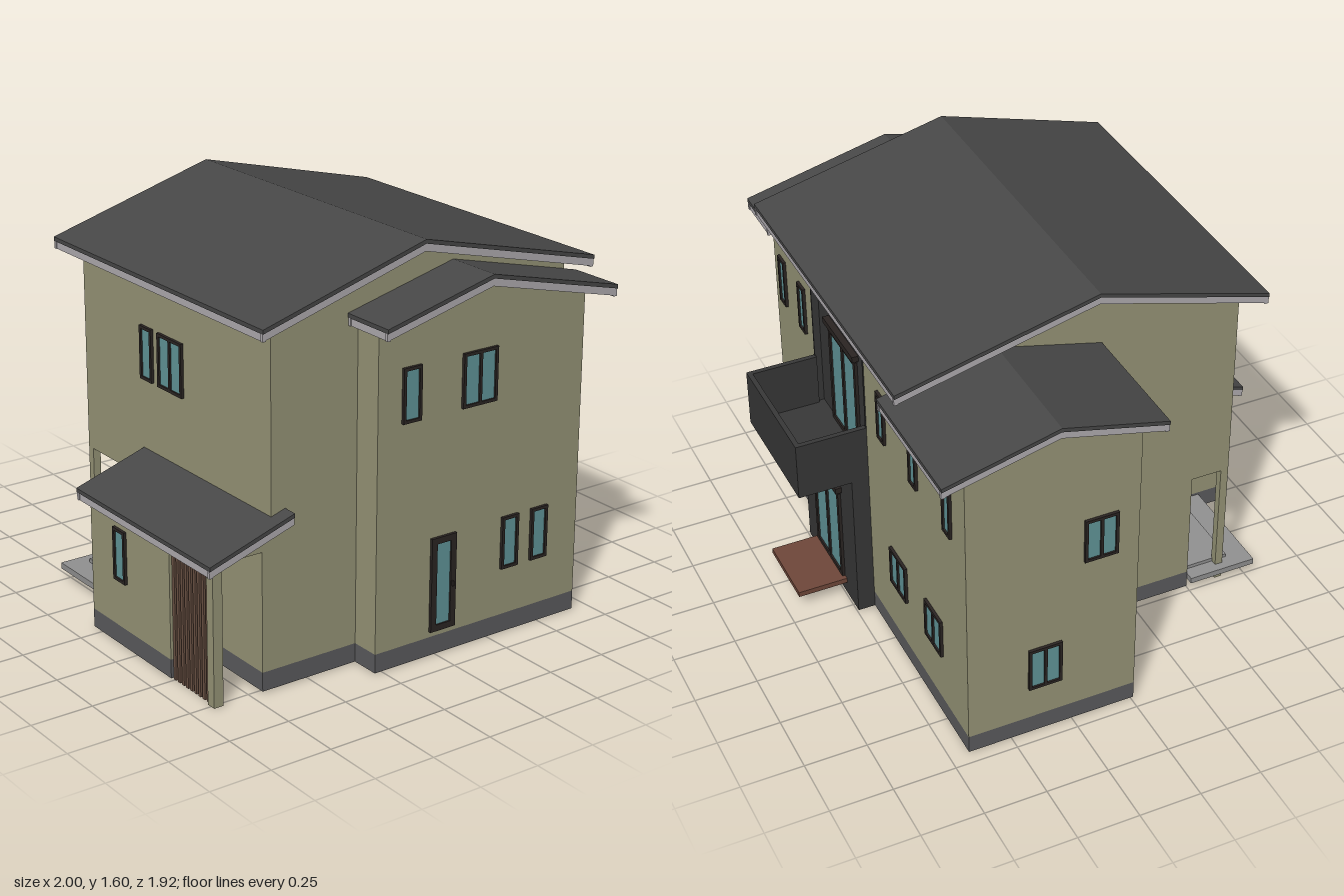
import * as THREE from 'three';

const mat = (color, side = THREE.FrontSide) => new THREE.MeshStandardMaterial({ color, side });
const OLIVE = mat(0x989678, THREE.DoubleSide), BASE = mat(0x5c5c5e, THREE.DoubleSide);
const ROOF = mat(0x484848), FASCIA = mat(0xb2aeb2), DARK = mat(0x383838), FRAME = mat(0x2b2523);
const GLASS = mat(0x62979a), WOOD = mat(0x70483a), STONE = mat(0x929292), SLAT = mat(0x6b5244);

export function createModel() {
  const house = new THREE.Group();
  house.name = 'house';

  const add = (name, geo, material, parent = house) => {
    const m = new THREE.Mesh(geo, material);
    m.name = name;
    parent.add(m);
    return m;
  };
  // box given by its limits on each axis
  const box = (name, material, x0, x1, y0, y1, z0, z1, parent) => add(name,
    new THREE.BoxGeometry(x1 - x0, y1 - y0, z1 - z0)
      .translate((x0 + x1) / 2, (y0 + y1) / 2, (z0 + z1) / 2), material, parent);

  // thin vertical walls along a plan path of [x, z] points, with tops following top(z)
  const walls = (name, material, path, y0, top) => {
    const pos = [];
    for (let i = 0; i + 1 < path.length; i++) {
      const [ax, az] = path[i], [bx, bz] = path[i + 1];
      const A = [ax, y0, az], B = [bx, y0, bz], C = [bx, top(bz), bz], D = [ax, top(az), az];
      pos.push(...A, ...B, ...C, ...A, ...C, ...D);
    }
    const g = new THREE.BufferGeometry();
    g.setAttribute('position', new THREE.Float32BufferAttribute(pos, 3));
    g.computeVertexNormals();
    return add(name, g, material);
  };

  // band below a [z, y] roof line, extruded from x0 to x1
  const band = (line, upper, lower, x0, x1) => {
    const top = line.map(([z, y]) => new THREE.Vector2(z, y - upper));
    const bottom = line.map(([z, y]) => new THREE.Vector2(z, y - lower)).reverse();
    return new THREE.ExtrudeGeometry(new THREE.Shape([...top, ...bottom]), { depth: x1 - x0, bevelEnabled: false })
      .rotateY(-Math.PI / 2).translate(x1, 0, 0);
  };
  // roof slab with pale boards under its rakes and eaves
  const roof = (name, x0, x1, line) => {
    const g = new THREE.Group();
    g.name = name;
    house.add(g);
    add('roofSlab', band(line, 0, 0.016, x0, x1), ROOF, g);
    for (const x of [x0 + 0.004, x1 - 0.016]) add('rakeBoard', band(line, 0.016, 0.045, x, x + 0.012), FASCIA, g);
    const ends = [line[0], line[line.length - 1]];
    ends.forEach(([z, y], i) => {
      const a = i ? z - 0.016 : z + 0.004;
      box('eaveBoard', FASCIA, x0 + 0.004, x1 - 0.004, y - 0.045, y - 0.014, a, a + 0.012, g);
    });
  };
  // underside height of a roof line at z
  const under = (line) => (z) => {
    for (let i = 0; i + 1 < line.length; i++) {
      const [a, ya] = line[i], [b, yb] = line[i + 1];
      if (z <= b) return ya + (yb - ya) * (z - a) / (b - a) - 0.015;
    }
    return line[line.length - 1][1] - 0.015;
  };

  // roofs
  const mainLine = [[-0.76, 1.405], [0.04, 1.6], [0.74, 1.4]];
  const leftLine = [[-0.78, 1.32], [-0.33, 1.43], [0.09, 1.325]];
  const rightLine = [[-0.735, 1.335], [-0.14, 1.48], [0.33, 1.365]];
  const porchLine = [[0.6, 0.695], [0.96, 0.58]];
  roof('mainRoof', -0.555, 0.84, mainLine);
  roof('westWingRoof', -1, -0.435, leftLine);
  roof('eastWingRoof', 0.77, 1, rightLine);
  roof('frontLeanToRoof', -0.065, 0.83, porchLine);

  // ground floor walls and plinth
  const plan = [[-0.95, -0.675], [-0.95, 0.01], [-0.475, 0.01], [-0.475, 0.5], [-0.05, 0.5], [-0.05, 0.91],
    [0.49, 0.91], [0.49, 0.7], [0.77, 0.7], [0.77, 0.285], [0.89, 0.285], [0.89, -0.675], [-0.95, -0.675]];
  walls('plinth', BASE, plan, 0.005, () => 0.08);
  walls('groundFloorWalls', OLIVE, plan, 0.08, () => 0.55);

  // upper walls, main block with a shallow recess at the back
  walls('mainUpperWalls', OLIVE, [[-0.045, -0.645], [-0.045, -0.675], [-0.475, -0.675], [-0.475, 0.04],
    [-0.475, 0.66], [0.77, 0.66], [0.77, 0.04], [0.77, -0.675], [0.485, -0.675], [0.485, -0.645],
    [-0.045, -0.645]], 0.55, under(mainLine));
  walls('westWingUpperWalls', OLIVE, [[-0.475, 0.01], [-0.95, 0.01], [-0.95, -0.33], [-0.95, -0.675],
    [-0.475, -0.675]], 0.55, under(leftLine));
  walls('eastWingUpperWalls', OLIVE, [[0.77, 0.285], [0.89, 0.285], [0.89, -0.14], [0.89, -0.675],
    [0.77, -0.675]], 0.55, under(rightLine));
  walls('leanToUpperWalls', OLIVE, [[-0.05, 0.66], [-0.05, 0.91], [0.77, 0.91], [0.77, 0.66]], 0.55, under(porchLine));
  box('entryCeiling', OLIVE, -0.475, -0.05, 0.55, 0.555, 0.5, 0.66);
  box('alcoveCeiling', OLIVE, 0.49, 0.77, 0.55, 0.555, 0.7, 0.91);

  // posts and slatted screen
  box('entryPost', OLIVE, -0.475, -0.443, 0, 0.55, 0.628, 0.66);
  box('alcovePost', OLIVE, 0.73, 0.77, 0, 0.55, 0.87, 0.91);
  for (let i = 0; i < 9; i++) {
    const x = 0.492 + i * 0.027;
    box('screenSlat', SLAT, x, x + 0.015, 0, 0.55, 0.875, 0.9);
  }

  // entry steps and front door
  box('lowerStep', STONE, -0.51, -0.05, 0.045, 0.07, 0.5, 0.785);
  box('upperStep', STONE, -0.45, -0.05, 0.07, 0.085, 0.5, 0.69);
  box('frontDoor', DARK, -0.33, -0.14, 0.09, 0.5, 0.5, 0.515);
  box('frontDoorPanel', FASCIA, -0.255, -0.222, 0.1, 0.49, 0.51, 0.519);
  box('frontDoorHandle', FRAME, -0.165, -0.158, 0.23, 0.31, 0.515, 0.53);

  // framed window: centre, size, turn about y, number of panes, frame width
  const glazing = (name, x, y, z, w, h, turn = 0, panes = 1, f = 0.012) => {
    const g = new THREE.Group();
    g.name = name;
    g.position.set(x, y, z);
    g.rotation.y = turn;
    house.add(g);
    const rect = (C, x0, x1, y0, y1) => new C([[x0, y0], [x1, y0], [x1, y1], [x0, y1]].map((p) => new THREE.Vector2(...p)));
    const s = rect(THREE.Shape, -w / 2, w / 2, -h / 2, h / 2);
    const step = (w - f) / panes;
    for (let i = 0; i < panes; i++) {
      const a = -w / 2 + f + i * step;
      s.holes.push(rect(THREE.Path, a, a + step - f, -h / 2 + f, h / 2 - f));
    }
    add('frame', new THREE.ExtrudeGeometry(s, { depth: 0.012, bevelEnabled: false }), FRAME, g);
    box('glass', GLASS, -w / 2 + f / 2, w / 2 - f / 2, -h / 2 + f / 2, h / 2 - f / 2, 0, 0.005, g);
  };

  // front windows
  glazing('frontUpperWindow', -0.025, 1.06, 0.66, 0.08, 0.21);
  glazing('frontUpperDoubleWindow', 0.137, 1.06, 0.66, 0.162, 0.21, 0, 2);
  glazing('leanToWindow', 0.16, 0.375, 0.91, 0.08, 0.21);
  glazing('westWingUpperWindow', -0.578, 0.81, 0.01, 0.083, 0.09);
  glazing('westWingLowerWindow', -0.67, 0.322, 0.01, 0.1, 0.095);

  // side windows and side door
  const E = Math.PI / 2, B = Math.PI;
  glazing('eastUpperWindow', 0.89, 1.06, 0.137, 0.083, 0.21, E);
  glazing('eastUpperDoubleWindow', 0.89, 1.06, -0.175, 0.16, 0.21, E, 2);
  for (const z of [-0.34, -0.483]) glazing('eastLowerWindow', 0.89, 0.375, z, 0.08, 0.21, E);
  glazing('sideDoor', 0.89, 0.29, -0.022, 0.115, 0.375, E, 1, 0.025);
  box('sideDoorHandle', FRAME, 0.9, 0.912, 0.27, 0.29, -0.065, -0.058);
  glazing('westUpperWindow', -0.95, 0.855, -0.145, 0.135, 0.19, -E, 2);
  glazing('westLowerWindow', -0.95, 0.32, -0.365, 0.135, 0.19, -E, 2);

  // back windows
  for (const x of [0.795, 0.585, -0.21, -0.505, -0.805]) glazing('backUpperWindow', x, 1.05, -0.675, 0.066, 0.21, B);
  for (const x of [0.752, 0.638]) glazing('backNarrowWindow', x, 0.37, -0.675, 0.066, 0.21, B);
  for (const x of [-0.327, -0.657]) glazing('backDoubleWindow', x, 0.385, -0.675, 0.15, 0.17, B, 2);

  // dark bay, recess lining and balcony
  box('darkBay', DARK, -0.045, 0.485, 0.005, 0.65, -0.745, -0.67);
  box('recessPanel', DARK, -0.045, 0.485, 0.65, 1.41, -0.65, -0.642);
  for (const x of [-0.045, 0.477]) box('recessLining', DARK, x, x + 0.008, 0.65, 1.405, -0.678, -0.645);
  box('balconyFloor', DARK, -0.045, 0.485, 0.65, 0.67, -0.96, -0.65);
  box('balconyFront', DARK, -0.045, 0.485, 0.65, 0.89, -0.96, -0.94);
  for (const x of [-0.045, 0.465]) box('balconySide', DARK, x, x + 0.02, 0.65, 0.89, -0.96, -0.675);

  // back glass doors with hoods, and the deck
  glazing('gardenDoor', 0.225, 0.29, -0.745, 0.27, 0.42, B, 2, 0.018);
  box('gardenDoorHood', FRAME, 0.075, 0.375, 0.515, 0.54, -0.77, -0.74);
  glazing('balconyDoor', 0.22, 0.885, -0.65, 0.27, 0.43, B, 2, 0.018);
  box('balconyDoorHood', FRAME, 0.07, 0.37, 1.115, 1.14, -0.676, -0.645);
  box('deck', WOOD, 0.07, 0.37, 0.06, 0.082, -0.95, -0.745);

  return house;
}
